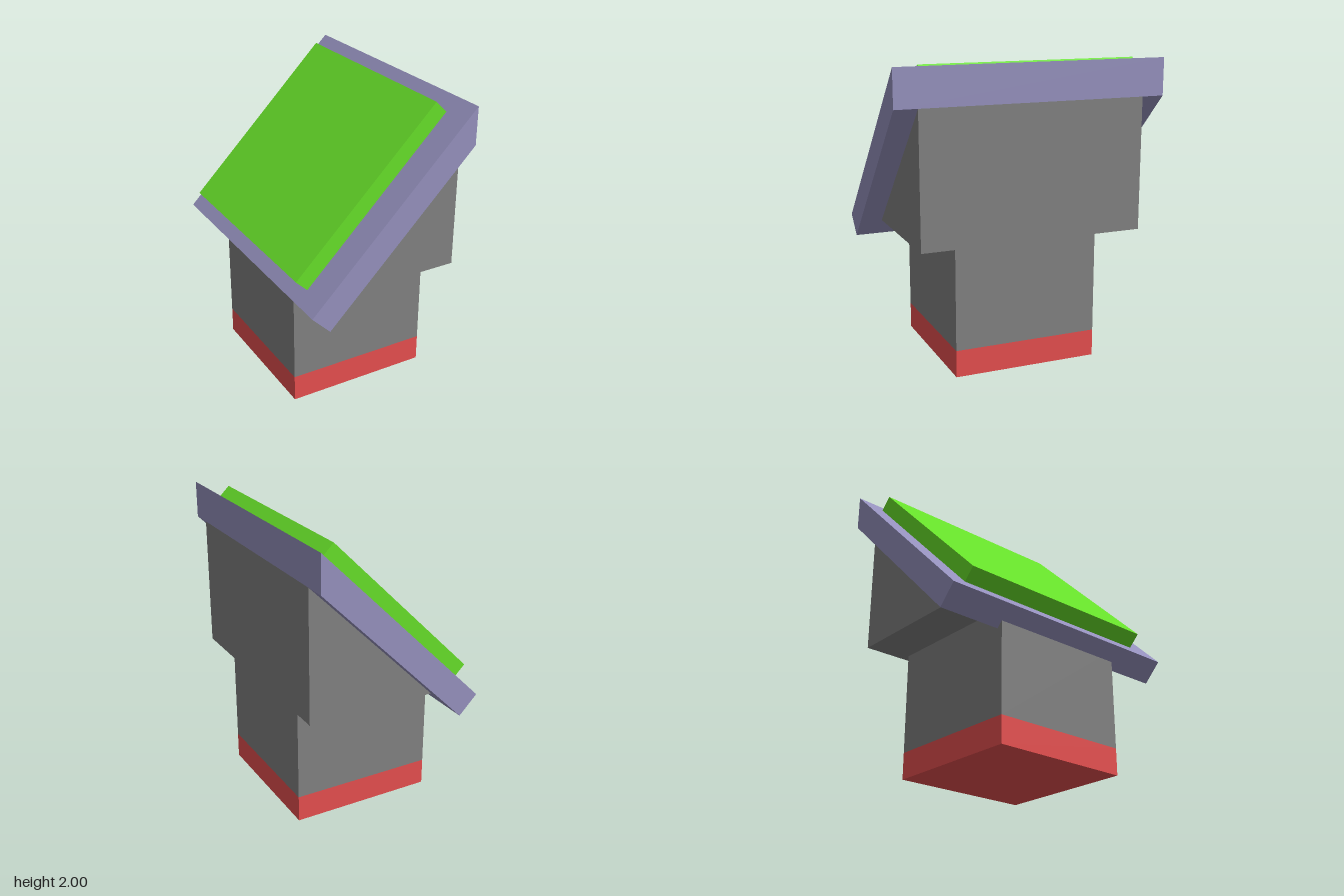
import * as THREE from 'three';

const material = (color) => new THREE.MeshStandardMaterial({ color });

// Side profile in x/y, extruded from z0 to z1
function prism(name, points, z0, z1, mat) {
  const shape = new THREE.Shape(points.map(([x, y]) => new THREE.Vector2(x, y)));
  const geometry = new THREE.ExtrudeGeometry(shape, { depth: z1 - z0, bevelEnabled: false });
  geometry.translate(0, 0, z0);
  const mesh = new THREE.Mesh(geometry, mat);
  mesh.name = name;
  return mesh;
}

// Axis-aligned block of the square column
function columnBlock(name, y0, y1, mat) {
  const [x0, x1, z0, z1] = [-0.482, 0.498, -0.465, 0.513];
  const mesh = new THREE.Mesh(new THREE.BoxGeometry(x1 - x0, y1 - y0, z1 - z0), mat);
  mesh.position.set((x0 + x1) / 2, (y0 + y1) / 2, (z0 + z1) / 2);
  mesh.name = name;
  return mesh;
}

export function createModel() {
  const model = new THREE.Group();
  model.name = 'slantedPanelOnPost';
  const darkGrey = material(0x808080);

  // Square column with a coloured foot
  model.add(columnBlock('foot', 0, 0.18, material(0xe44e4e)));
  model.add(columnBlock('post', 0.18, 0.872, darkGrey));

  // Wedge carrying the tilted panel
  model.add(prism('wedgeHousing',
    [[-0.318, 0.872], [0.563, 0.872], [0.563, 1.753]], -0.755, 0.755, darkGrey));

  // Thick backing slab, tilted 45 degrees with a vertical upper end
  model.add(prism('panelFrame',
    [[-0.565, 0.872], [-0.442, 0.748], [0.563, 1.753], [0.563, 2]], -0.905, 0.905, material(0x9490bc)));

  // Raised screen slab lying on the frame
  model.add(prism('screen',
    [[-0.565, 1.025], [-0.487, 0.948], [0.482, 1.918], [0.404, 1.995]], -0.763, 0.705, material(0x66de29)));

  return model;
}
